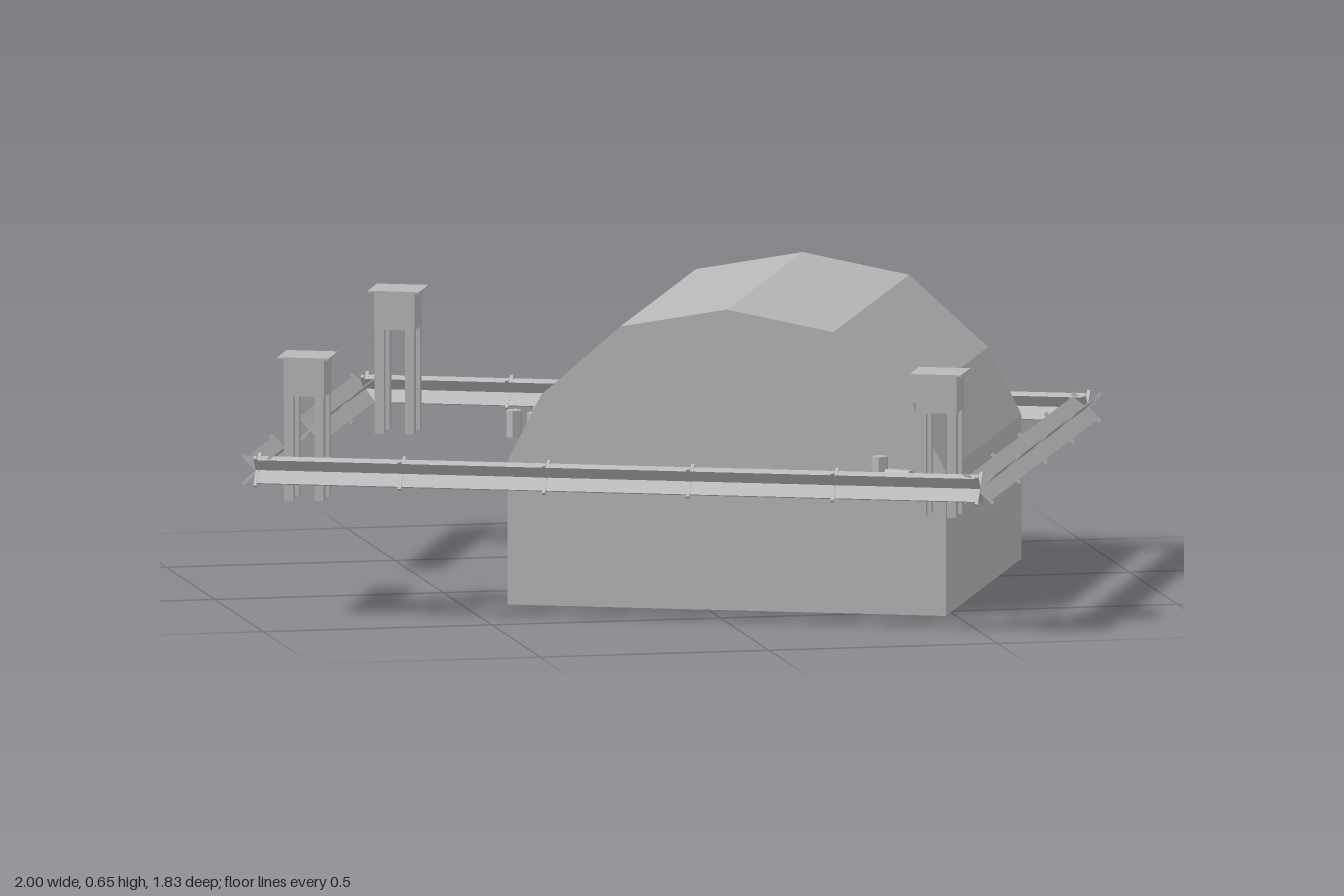
import * as THREE from 'three';

export function createModel() {
  const model = new THREE.Group();
  model.name = 'walledCompound';
  const grey = new THREE.MeshStandardMaterial({ color: 0xb8b8b8, side: THREE.DoubleSide });
  grey.name = 'plainGrey';

  // The whole yard is turned about the vertical axis
  const yard = new THREE.Group();
  yard.name = 'yard';
  yard.rotation.y = -Math.PI / 8;
  model.add(yard);

  function add(parent, name, geometry, x, y, z) {
    const mesh = new THREE.Mesh(geometry.index ? geometry.toNonIndexed() : geometry, grey);
    mesh.geometry.computeVertexNormals();
    mesh.name = name;
    mesh.position.set(x, y, z);
    parent.add(mesh);
    return mesh;
  }

  // Vaulted hall: open underneath, faceted roof
  const half = [[0.477, 0], [0.477, 0.31], [0.404, 0.455], [0.232, 0.607]];
  const profile = [...half, [0, 0.65], ...half.map(([x, y]) => [-x, y]).reverse()];
  const halfLength = 0.443;
  const hall = new THREE.Group();
  hall.name = 'hall';
  hall.position.set(0.183, 0, -0.1);
  yard.add(hall);

  const shell = [];
  for (let i = 0; i < profile.length - 1; i++) {
    const [ax, ay] = profile[i], [bx, by] = profile[i + 1];
    shell.push(ax, ay, halfLength, ax, ay, -halfLength, bx, by, -halfLength);
    shell.push(ax, ay, halfLength, bx, by, -halfLength, bx, by, halfLength);
  }
  const shellGeometry = new THREE.BufferGeometry();
  shellGeometry.setAttribute('position', new THREE.Float32BufferAttribute(shell, 3));
  add(hall, 'wallsAndRoof', shellGeometry, 0, 0, 0);

  const gable = new THREE.Shape(profile.map(([x, y]) => new THREE.Vector2(x, y)));
  add(hall, 'frontGable', new THREE.ShapeGeometry(gable), 0, 0, halfLength);
  add(hall, 'backGable', new THREE.ShapeGeometry(gable), 0, 0, -halfLength).rotation.y = Math.PI;

  // Perimeter barrier: crossed planks with X stakes at every joint
  const step = 0.314, U = 0.785, V = 0.628, barrierY = 0.318;
  function barrier(name, x, z, turn, count) {
    const run = new THREE.Group();
    run.name = name;
    run.position.set(x, barrierY, z);
    run.rotation.y = turn;
    yard.add(run);
    for (const side of [-1, 1]) {
      const tilt = side * Math.PI / 4;
      add(run, 'plank', new THREE.BoxGeometry(count * step, 0.003, 0.073), count * step / 2, 0, 0).rotation.x = tilt;
      for (let i = 0; i <= count; i++) {
        add(run, 'stake', new THREE.BoxGeometry(0.007, 0.007, 0.088), i * step, 0, 0).rotation.x = tilt;
      }
    }
  }
  barrier('frontBarrier', -U, V, 0, 5);
  barrier('backBarrier', -U, -V, 0, 5);
  barrier('leftBarrier', U, V, Math.PI / 2, 4);
  barrier('rightBackBarrier', -U, -V, -Math.PI / 2, 2);
  barrier('rightFrontBarrier', -U, V, Math.PI / 2, 1);

  // Watchtowers: flat roof, cabin, four legs
  for (const [x, z] of [[-0.689, -0.5], [-0.695, 0.527], [0.682, 0.53]]) {
    const tower = new THREE.Group();
    tower.name = 'watchtower';
    tower.position.set(x, 0, z);
    yard.add(tower);
    add(tower, 'towerRoof', new THREE.BoxGeometry(0.112, 0.004, 0.112), 0, 0.554, 0);
    add(tower, 'cabin', new THREE.BoxGeometry(0.088, 0.083, 0.088), 0, 0.512, 0);
    for (const sx of [-1, 1]) for (const sz of [-1, 1]) {
      add(tower, 'leg', new THREE.BoxGeometry(0.02, 0.225, 0.02), sx * 0.033, 0.358, sz * 0.033);
    }
  }

  // Barrels, four standing and one lying down
  const barrel = () => new THREE.CylinderGeometry(0.018, 0.018, 0.058, 6);
  for (const [x, z] of [[-0.372, -0.154], [-0.327, -0.227], [-0.321, -0.121], [0.526, 0.394]]) {
    add(yard, 'barrel', barrel(), x, 0.32, z);
  }
  add(yard, 'fallenBarrel', barrel(), 0.57, 0.307, 0.408).rotation.set(0, -0.3, Math.PI / 2);

  return model;
}
